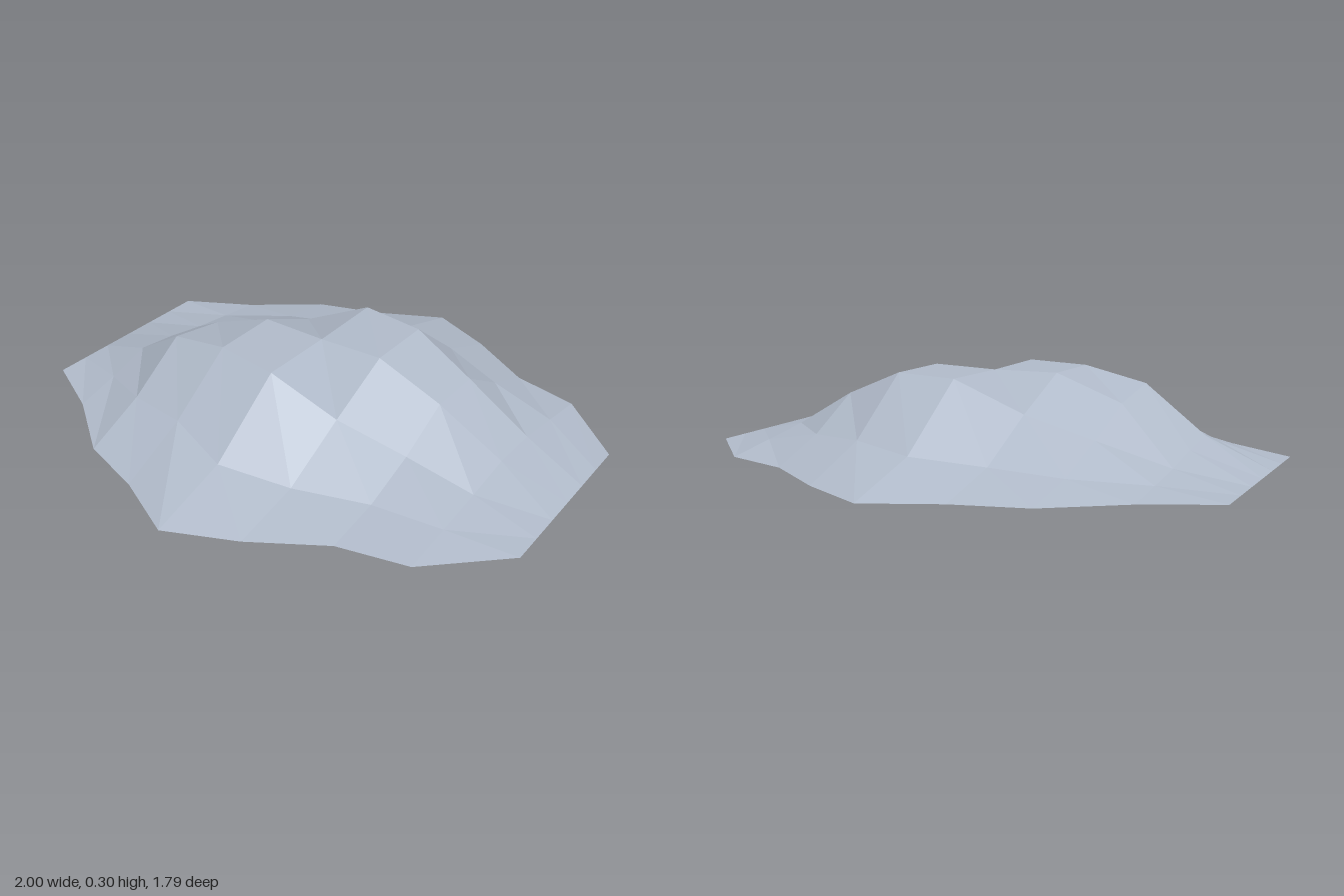
import * as THREE from 'three';

// Half depth of the mound at each of the nine stations along x
const halfDepth = [0.373, 0.505, 0.692, 0.772, 0.895, 0.785, 0.632, 0.575, 0.342];

// Heights along x for each row, from back to front
const heights = [
  [0, 0, 0, 0, 0, 0, 0, 0, 0],
  [0, 0.02, 0.04, 0.06, 0.085, 0.1, 0.08, 0.03, 0],
  [0, 0.04, 0.12, 0.19, 0.3, 0.3, 0.2, 0.06, 0],
  [0, 0.07, 0.21, 0.3, 0.295, 0.3, 0.2, 0.065, 0],
  [0, 0.09, 0.25, 0.297, 0.297, 0.18, 0.1, 0.04, 0],
  [0, 0.04, 0.1, 0.12, 0.085, 0.05, 0.03, 0.02, 0],
  [0, 0, 0, 0, 0, 0, 0, 0, 0],
];

// Open faceted shell: rows scale with the half depth of their station
function moundGeometry() {
  const cols = halfDepth.length, rows = heights.length;
  const positions = [], index = [];
  heights.forEach((row, j) => row.forEach((y, i) => {
    const t = (2 * j) / (rows - 1) - 1;
    positions.push(-1 + (2 * i) / (cols - 1), y, t * halfDepth[i]);
  }));
  for (let j = 0; j < rows - 1; j++) {
    for (let i = 0; i < cols - 1; i++) {
      const a = j * cols + i, b = a + 1, c = a + cols, d = c + 1;
      index.push(a, d, b, a, c, d);
    }
  }
  const geometry = new THREE.BufferGeometry();
  geometry.setAttribute('position', new THREE.Float32BufferAttribute(positions, 3));
  geometry.setIndex(index);
  const flat = geometry.toNonIndexed();
  flat.computeVertexNormals();
  return flat;
}

export function createModel() {
  const group = new THREE.Group();
  group.name = 'mound';
  const stone = new THREE.MeshStandardMaterial({
    color: 0xb0bac9, flatShading: true, side: THREE.DoubleSide,
  });
  stone.name = 'pale blue grey';
  const shell = new THREE.Mesh(moundGeometry(), stone);
  shell.name = 'moundSurface';
  group.add(shell);
  return group;
}
